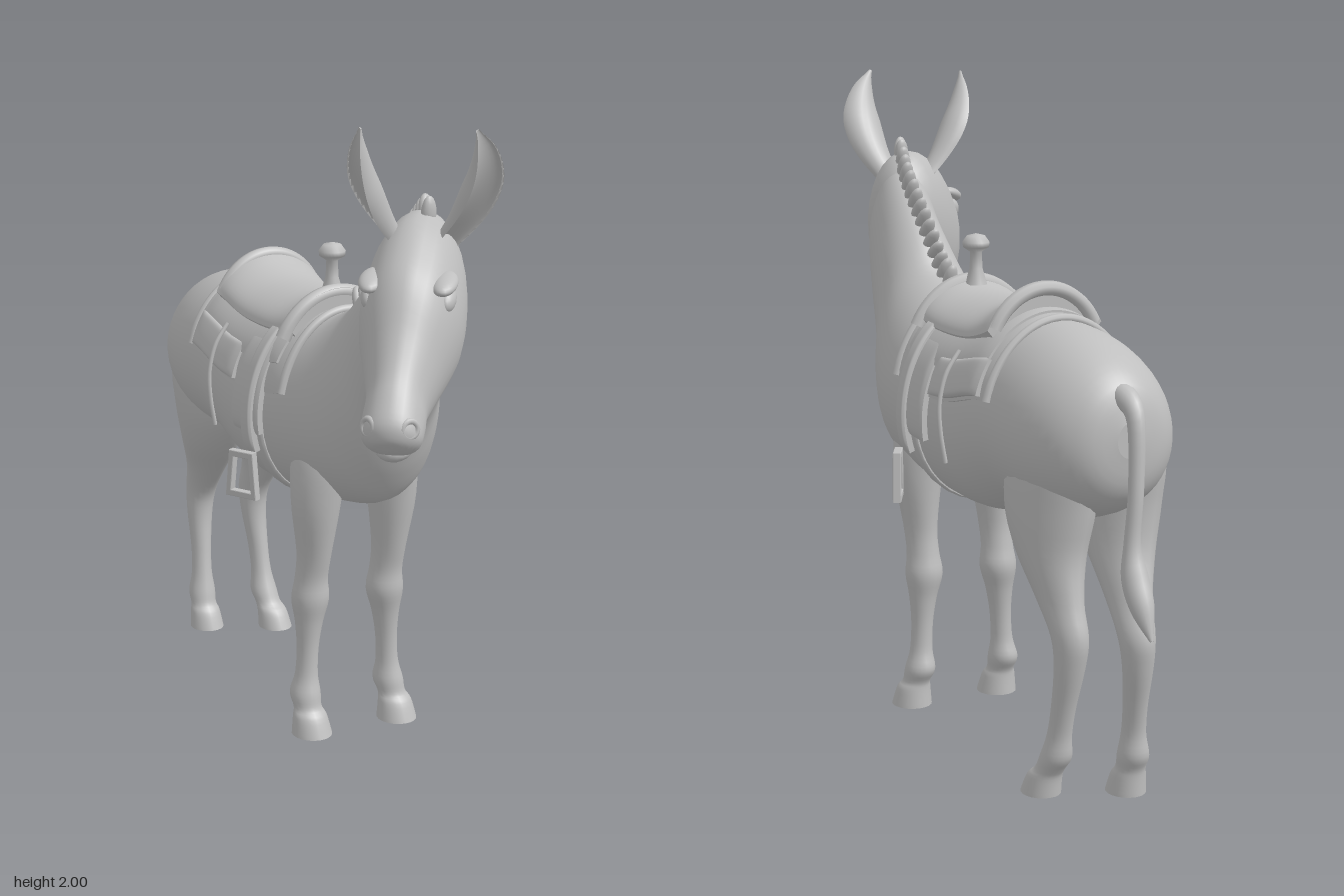
import * as THREE from 'three';

const V = (x, y, z) => new THREE.Vector3(x, y, z);
const lerp = THREE.MathUtils.lerp;
const grey = new THREE.MeshStandardMaterial({ color: 0xbfbfbf });
grey.name = 'plain grey';

function add(parent, name, geometry) {
  const mesh = new THREE.Mesh(geometry, grey);
  mesh.name = name;
  parent.add(mesh);
  return mesh;
}

// Catmull-Rom subdivision of rows of numbers
function smooth(rows, k = 4) {
  const out = [];
  const at = i => rows[Math.min(Math.max(i, 0), rows.length - 1)];
  for (let i = 0; i < rows.length - 1; i++) {
    for (let s = 0; s < k; s++) {
      const t = s / k, [a, b, c, d] = [at(i - 1), at(i), at(i + 1), at(i + 2)];
      out.push(b.map((_, n) => b[n] + 0.5 * t * (c[n] - a[n]
        + t * (2 * a[n] - 5 * b[n] + 4 * c[n] - d[n] + t * (3 * (b[n] - c[n]) + d[n] - a[n])))));
    }
  }
  out.push(at(rows.length - 1));
  return out;
}

// Cross-section outlines: plain ellipse, and an egg a little wider below
const ellipse = f => [Math.cos(f), Math.sin(f)];
const egg = f => [Math.cos(f) * (1 - 0.05 * Math.sin(f)), Math.sin(f)];

// Skin over rings { c: centre, u, v: radius vectors }, with capped ends
function loft(rings, shape = ellipse, n = 28) {
  const pos = [], idx = [], last = rings.length - 1;
  const ring = r => {
    for (let j = 0; j < n; j++) {
      const [p, q] = shape((j / n) * Math.PI * 2);
      pos.push(...r.c.clone().addScaledVector(r.u, p).addScaledVector(r.v, q).toArray());
    }
  };
  const m = rings[last >> 1];
  const along = rings[(last >> 1) + 1].c.clone().sub(m.c);
  const flip = m.u.clone().cross(m.v).dot(along) < 0;
  const tri = (a, b, c) => (flip ? idx.push(a, c, b) : idx.push(a, b, c));
  rings.forEach(ring);
  for (let i = 0; i < last; i++) for (let j = 0; j < n; j++) {
    const a = i * n + j, b = i * n + (j + 1) % n;
    tri(a, b, a + n);
    tri(b, b + n, a + n);
  }
  for (const end of [0, last]) {
    const start = pos.length / 3;
    ring(rings[end]);
    const mid = pos.length / 3;
    pos.push(...rings[end].c.toArray());
    for (let j = 0; j < n; j++) {
      const a = start + j, b = start + (j + 1) % n;
      if (end) tri(a, b, mid); else tri(b, a, mid);
    }
  }
  const g = new THREE.BufferGeometry();
  g.setAttribute('position', new THREE.Float32BufferAttribute(pos, 3));
  g.setIndex(idx);
  g.computeVertexNormals();
  return g;
}

// Curved spine of the animal seen from above
const axisX = z => {
  const t = Math.max(0, z - 0.1);
  return 0.115 - 0.25 * z + 0.12 * t - 0.62 * t ** 3;
};
const yaw = z => -Math.atan(0.25 + 1.6 * Math.max(0, z - 0.4));
const sideAt = z => V(Math.cos(yaw(z)), 0, -Math.sin(yaw(z)));

// Torso and neck, rump to poll: top z, top y, bottom z, bottom y, half width
const trunk = smooth([
  [-0.84, 1.12, -0.84, 1.02, 0.04], [-0.81, 1.22, -0.82, 0.92, 0.13], [-0.72, 1.29, -0.75, 0.85, 0.2],
  [-0.58, 1.335, -0.6, 0.8, 0.238], [-0.4, 1.345, -0.4, 0.79, 0.24], [-0.2, 1.315, -0.2, 0.73, 0.245],
  [0, 1.315, 0, 0.725, 0.24], [0.15, 1.34, 0.19, 0.745, 0.225], [0.22, 1.37, 0.35, 0.785, 0.208],
  [0.28, 1.41, 0.437, 0.895, 0.185], [0.36, 1.5, 0.5, 1.03, 0.15], [0.47, 1.6, 0.6, 1.155, 0.125],
  [0.58, 1.68, 0.69, 1.25, 0.113], [0.67, 1.73, 0.75, 1.34, 0.095], [0.73, 1.7, 0.77, 1.42, 0.035],
]);

// Point on the barrel: station z, angle from the top (left positive), offset outward
function surf(z, f, off) {
  let i = 0;
  while (i < trunk.length - 2 && trunk[i + 1][0] < z) i++;
  const t = (z - trunk[i][0]) / (trunk[i + 1][0] - trunk[i][0]);
  const [, top, , bot, w] = trunk[i].map((v, n) => lerp(v, trunk[i + 1][n], t));
  const [out, up] = egg(Math.PI / 2 - f);
  return V(axisX(z), (top + bot) / 2 + ((top - bot) / 2 + off) * up, z)
    .addScaledVector(sideAt(z), (w + off) * out);
}

// Padded panel bent over the barrel; angles in degrees
function drape(z0, z1, d0, d1, lo, hi, rise = () => 0) {
  const g = new THREE.BoxGeometry(2, 1, 2, 36, 1, 18), p = g.attributes.position;
  for (let i = 0; i < p.count; i++) {
    const a = p.getX(i), b = p.getZ(i);
    const puff = 0.65 + 0.35 * (1 - a ** 10) * (1 - b ** 10);
    const off = p.getY(i) < 0 ? lo : lo + (hi - lo) * puff + rise(b) * (1 - 0.7 * a * a);
    const q = surf(lerp(z0, z1, (b + 1) / 2), THREE.MathUtils.degToRad(lerp(d0, d1, (a + 1) / 2)), off);
    p.setXYZ(i, q.x, q.y, q.z);
  }
  g.computeVertexNormals();
  return g;
}

const tube = (pts, r, n = 40) => new THREE.TubeGeometry(new THREE.CatmullRomCurve3(pts), n, r, 8);

function ball(parent, name, p, s, rx = 0) {
  const m = add(parent, name, new THREE.SphereGeometry(1, 20, 14));
  m.position.set(...p);
  m.scale.set(...s);
  m.rotation.x = rx;
}

// Leg rows: x, y, z, rx, rz
const leg = rows => loft(smooth(rows).map(([x, y, z, rx, rz]) =>
  ({ c: V(x, y, z), u: V(rx, 0, 0), v: V(0, 0, rz) })), ellipse, 20);

function buildHead(parent) {
  const head = new THREE.Group();
  head.name = 'head';
  head.position.set(-0.1, 0, 0.65);
  head.rotation.y = -0.94;
  parent.add(head);
  // top z, top y, bottom z, bottom y, half width
  const rows = smooth([
    [-0.11, 1.64, -0.12, 1.44, 0.03], [-0.04, 1.735, -0.08, 1.35, 0.105], [0.09, 1.735, -0.02, 1.28, 0.138],
    [0.22, 1.66, 0.06, 1.235, 0.145], [0.295, 1.59, 0.14, 1.215, 0.132], [0.36, 1.48, 0.24, 1.19, 0.103],
    [0.42, 1.39, 0.31, 1.17, 0.084], [0.47, 1.33, 0.35, 1.155, 0.085], [0.51, 1.27, 0.4, 1.15, 0.08],
    [0.513, 1.225, 0.45, 1.165, 0.05], [0.5, 1.205, 0.48, 1.185, 0.01],
  ]);
  add(head, 'skull', loft(rows.map(([tz, ty, bz, by, w]) => ({
    c: V(0, (ty + by) / 2, (tz + bz) / 2), u: V(w, 0, 0), v: V(0, (ty - by) / 2, (tz - bz) / 2),
  }))));
  ball(head, 'lowerLip', [0, 1.18, 0.4], [0.055, 0.035, 0.06], 0.4);
  for (const s of [-1, 1]) {
    ball(head, 'eye', [s * 0.105, 1.54, 0.205], [0.026, 0.032, 0.05], 0.4);
    ball(head, 'browRidge', [s * 0.1, 1.585, 0.215], [0.036, 0.022, 0.068], 0.25);
    const nostril = add(head, 'nostril', new THREE.TorusGeometry(0.022, 0.009, 8, 20));
    nostril.position.set(s * 0.055, 1.25, 0.483);
    nostril.rotation.set(-0.1, s * 0.7, 0);
  }
}

// Cupped leaf swept along a bent path, its hollow turned towards `face`
function ear(base, bend, tip, face) {
  const path = new THREE.QuadraticBezierCurve3(base, bend, tip);
  const widths = smooth([[0.042], [0.056], [0.07], [0.073], [0.058], [0.035], [0.006]], 3);
  const rings = widths.map(([w], i) => {
    const t = i / (widths.length - 1), dir = path.getTangent(t);
    const u = face.clone().cross(dir).normalize();
    return { c: path.getPoint(t), u: u.clone().multiplyScalar(w), v: u.cross(dir).normalize().multiplyScalar(w) };
  });
  return loft(rings, f => [Math.cos(f), (Math.sin(f) > 0 ? 0.9 : -0.4) * Math.sin(f) - 0.35], 24);
}

function buildSaddle(parent) {
  const saddle = new THREE.Group();
  saddle.name = 'saddle';
  parent.add(saddle);
  const rad = THREE.MathUtils.degToRad;
  add(saddle, 'blanket', drape(-0.46, 0.15, -78, 78, -0.01, 0.018));
  add(saddle, 'skirt', drape(-0.41, 0.1, -60, 60, 0.005, 0.032));
  add(saddle, 'seat', drape(-0.37, 0.11, -41, 41, 0.01, 0.056, b => (b < 0 ? 0.055 : 0.035) * b ** 4));
  add(saddle, 'girth', drape(-0.01, 0.05, -180, 180, -0.01, 0.012));
  // Raised rolls along the blanket edges, pommel and cantle: station, angle, offset, extra at the top, radius
  for (const [z, d, off, up, r] of [[0.145, 78, 0.008, 0, 0.014], [-0.455, 78, 0.006, 0, 0.013],
    [0.09, 46, 0.035, 0.03, 0.024], [-0.365, 37, 0.04, 0.045, 0.022]]) {
    const pts = [];
    for (let a = -1; a <= 1.01; a += 0.125) pts.push(surf(z, rad(a * d), off + up * (1 - a * a)));
    add(saddle, 'edgeRoll', tube(pts, r));
  }
  // Horn with mushroom cap
  const horn = add(saddle, 'horn', new THREE.LatheGeometry([[0.034, 0], [0.02, 0.05], [0.018, 0.1], [0.04, 0.115],
    [0.042, 0.13], [0.028, 0.15], [0, 0.157]].map(p => new THREE.Vector2(...p)), 24));
  horn.position.set(axisX(0.06), 1.383, 0.06);
  // Stirrup frame outline with a hole
  const frame = (w0, w1, y0, y1, T) => new T([[-w0, y0], [w0, y0], [w1, y1], [-w1, y1]].map(p => new THREE.Vector2(...p)));
  const outline = frame(0.055, 0.042, -0.075, 0.07, THREE.Shape);
  outline.holes.push(frame(0.041, 0.03, -0.06, 0.055, THREE.Path));
  const frameGeo = new THREE.ExtrudeGeometry(outline, { depth: 0.02, bevelSize: 0.003, bevelThickness: 0.003, bevelSegments: 2 });
  frameGeo.translate(0, 0, -0.01);
  for (const s of [-1, 1]) {
    const band = (a, b) => (s > 0 ? [a, b] : [-b, -a]);
    add(saddle, 'fender', drape(-0.1, 0.06, ...band(42, 103), 0.005, 0.032));
    add(saddle, 'saddlePocket', drape(-0.42, -0.12, ...band(54, 76), 0.005, 0.036));
    add(saddle, 'stirrupStrap', drape(-0.005, 0.045, ...band(35, 113), 0.02, 0.048));
    const stirrup = add(saddle, 'stirrup', frameGeo);
    stirrup.position.copy(V(axisX(0.02), 0.825, 0.02)).addScaledVector(sideAt(0), s * 0.29);
    stirrup.rotation.y = -0.245 + s * (Math.PI / 2 - 0.5);
    const cord = [[50, 0.04], [65, 0.045], [80, 0.04], [95, 0.03], [112, 0.03]].map(([d, o]) => surf(-0.24, s * rad(d), o));
    add(saddle, 'cord', tube(cord, 0.007, 20));
  }
}

export function createModel() {
  const donkey = new THREE.Group();
  donkey.name = 'donkey';

  add(donkey, 'torsoAndNeck', loft(trunk.map(([tz, ty, bz, by, w]) => {
    const top = V(axisX(tz), ty, tz), bot = V(axisX(bz), by, bz);
    return {
      c: top.clone().add(bot).multiplyScalar(0.5),
      u: sideAt((tz + bz) / 2).multiplyScalar(w), v: top.sub(bot).multiplyScalar(0.5),
    };
  }), egg, 44));
  buildHead(donkey);
  add(donkey, 'leftEar', ear(V(-0.1, 1.66, 0.73), V(-0.06, 1.84, 0.9), V(-0.18, 2, 0.93), V(0.02, 0, 1)));
  add(donkey, 'rightEar', ear(V(-0.17, 1.66, 0.63), V(-0.34, 1.82, 0.63), V(-0.375, 2, 0.69), V(-0.94, 0, -0.33)));

  // Front legs: y, z shift, rx, rz, outward splay
  const fore = [[1.04, 0, 0.03, 0.05, -0.04], [0.92, 0.02, 0.068, 0.1, -0.015], [0.77, 0.025, 0.073, 0.085, 0],
    [0.6, 0.017, 0.051, 0.061, 0], [0.51, 0.005, 0.05, 0.055, 0], [0.44, 0, 0.059, 0.061, 0], [0.365, 0, 0.044, 0.046, 0.005],
    [0.28, 0, 0.034, 0.037, 0.01], [0.19, 0, 0.035, 0.038, 0.015], [0.128, 0, 0.047, 0.052, 0.02],
    [0.085, 0.015, 0.044, 0.045, 0.023], [0.058, 0.028, 0.054, 0.054, 0.025], [0, 0.038, 0.063, 0.067, 0.025]];
  for (const [name, s, x, z] of [['leftFrontLeg', 1, 0.178, 0.23], ['rightFrontLeg', -1, -0.062, 0.145]])
    add(donkey, name, leg(fore.map(([y, dz, rx, rz, o]) => [x + s * o, y, z + dz, rx, rz])));

  // Hind legs: y, z, rx, rz, left x, right x, right leg's z shift
  const hind = [[1.12, -0.6, 0.04, 0.08, 0.355, 0.185, -0.06], [1.0, -0.585, 0.09, 0.16, 0.37, 0.172, -0.06],
    [0.85, -0.575, 0.097, 0.16, 0.378, 0.178, -0.06], [0.72, -0.595, 0.08, 0.122, 0.393, 0.2, -0.08],
    [0.6, -0.65, 0.054, 0.084, 0.41, 0.24, -0.1], [0.5, -0.7, 0.048, 0.061, 0.417, 0.265, -0.11],
    [0.41, -0.7, 0.043, 0.047, 0.417, 0.262, -0.115], [0.29, -0.675, 0.034, 0.038, 0.415, 0.25, -0.12],
    [0.2, -0.655, 0.034, 0.038, 0.412, 0.24, -0.125], [0.132, -0.639, 0.045, 0.048, 0.41, 0.235, -0.135],
    [0.09, -0.615, 0.044, 0.044, 0.41, 0.23, -0.145], [0.062, -0.592, 0.051, 0.052, 0.41, 0.227, -0.155],
    [0.006, -0.575, 0.057, 0.062, 0.41, 0.225, -0.16]];
  add(donkey, 'leftHindLeg', leg(hind.map(([y, z, rx, rz, l]) => [l, y, z, rx, rz])));
  add(donkey, 'rightHindLeg', leg(hind.map(([y, z, rx, rz, , r, dz]) => [r, y, z + dz, rx, rz])));

  // Tail ending in a tuft: x, y, z, radius
  const tail = smooth([[0.31, 1.18, -0.74, 0.035], [0.325, 1.185, -0.82, 0.035], [0.34, 1.13, -0.875, 0.026],
    [0.355, 0.95, -0.892, 0.022], [0.365, 0.8, -0.89, 0.024], [0.37, 0.71, -0.905, 0.038],
    [0.378, 0.63, -0.945, 0.034], [0.388, 0.55, -0.99, 0.005]], 5);
  add(donkey, 'tail', loft(tail.map(([x, y, z, r], i) => {
    const a = tail[Math.max(i - 1, 0)], b = tail[Math.min(i + 1, tail.length - 1)];
    const dir = V(0, b[1] - a[1], b[2] - a[2]).normalize();
    return { c: V(x, y, z), u: V(r, 0, 0), v: V(0, -dir.z, dir.y).multiplyScalar(r) };
  }), ellipse, 14));

  // Mane of upright tufts along the crest
  const crest = new THREE.CatmullRomCurve3(trunk.filter(r => r[0] > 0.21 && r[0] < 0.69).map(r => V(axisX(r[0]), r[1], r[0])));
  for (let i = 0; i < 16; i++) {
    const t = i / 15, dir = crest.getTangentAt(t);
    const out = dir.clone().cross(sideAt(crest.getPointAt(t).z)).normalize();
    const tuft = add(donkey, 'maneTuft', new THREE.SphereGeometry(1, 12, 10));
    tuft.position.copy(crest.getPointAt(t)).addScaledVector(out, 0.012);
    tuft.scale.set(0.025, 0.052, 0.018);
    tuft.quaternion.setFromUnitVectors(V(0, 1, 0), out);
  }

  buildSaddle(donkey);
  return donkey;
}
